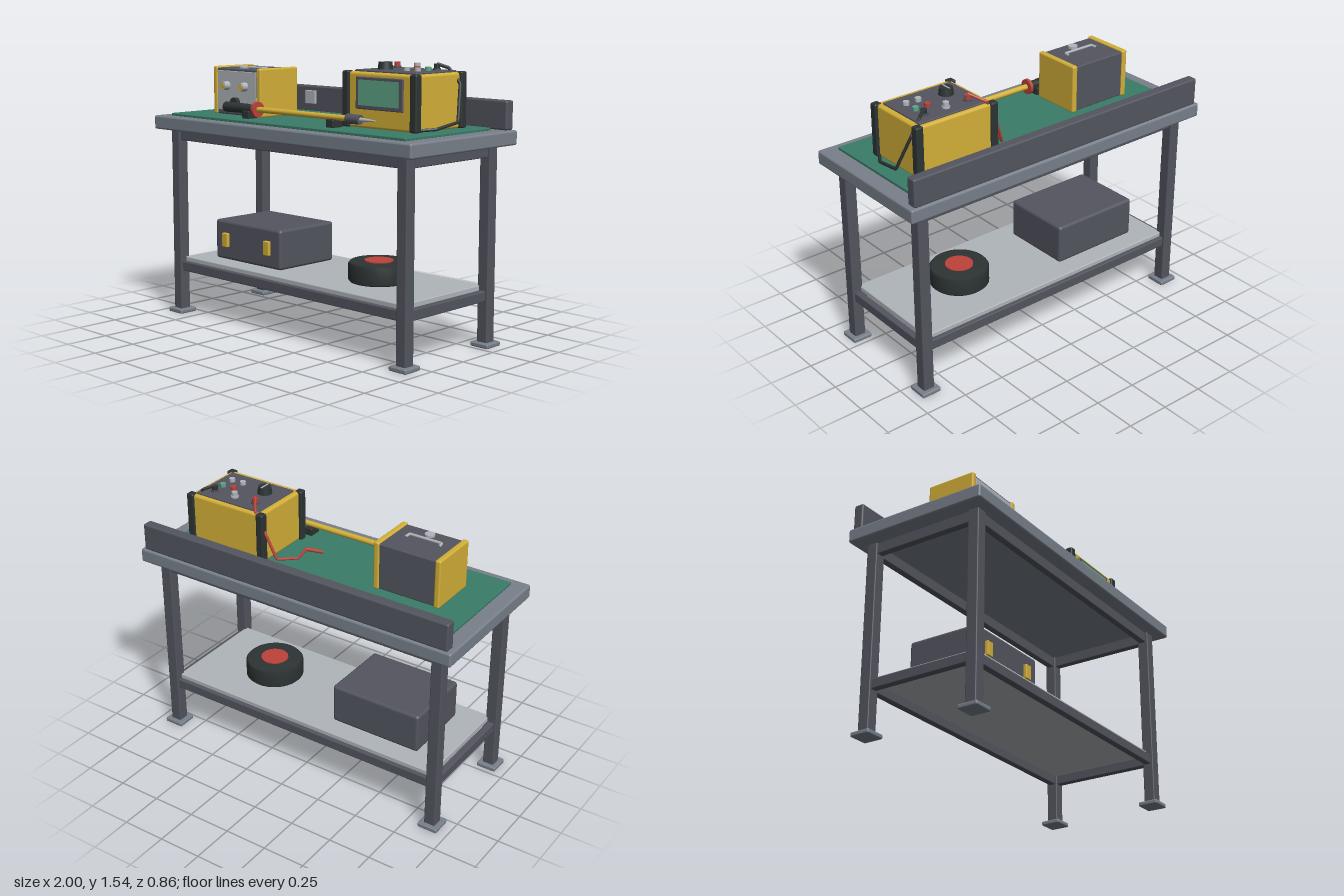
import * as THREE from 'three';
import { RoundedBoxGeometry } from 'three/addons/geometries/RoundedBoxGeometry.js';

const paint = (name, color) => {
  const m = new THREE.MeshStandardMaterial({ color });
  m.name = name;
  return m;
};

export function createModel() {
  const topGrey = paint('tableGrey', 0x78808a);
  const steel = paint('darkSteel', 0x53555f);
  const silver = paint('silver', 0xb0b5ba);
  const matGreen = paint('matGreen', 0x3a7c67);
  const yellow = paint('yellow', 0xd4b038);
  const black = paint('black', 0x2d3433);
  const red = paint('red', 0xbc423a);
  const screenGreen = paint('screenGreen', 0x5ea587);

  const model = new THREE.Group();
  model.name = 'workbench';
  const group = (name) => {
    const g = new THREE.Group();
    g.name = name;
    model.add(g);
    return g;
  };
  const add = (parent, name, geo, mat, x = 0, y = 0, z = 0) => {
    const m = new THREE.Mesh(geo, mat);
    m.name = name;
    m.position.set(x, y, z);
    parent.add(m);
    return m;
  };
  // Box from its limits on each axis, with rounded edges when r > 0
  const box = (parent, name, mat, [x0, x1], [y0, y1], [z0, z1], r = 0.006) => {
    const s = [x1 - x0, y1 - y0, z1 - z0];
    const geo = r ? new RoundedBoxGeometry(...s, 2, r) : new THREE.BoxGeometry(...s);
    return add(parent, name, geo, mat, (x0 + x1) / 2, (y0 + y1) / 2, (z0 + z1) / 2);
  };
  // Cylinder standing on (x, y, z) along the given axis
  const rod = (parent, name, mat, axis, x, y, z, len, r0, r1 = r0) => {
    const geo = new THREE.CylinderGeometry(r1, r0, len, 24).translate(0, len / 2, 0);
    if (axis === 'x') geo.rotateZ(-Math.PI / 2);
    if (axis === 'z') geo.rotateX(Math.PI / 2);
    return add(parent, name, geo, mat, x, y, z);
  };
  // Straight-run cable through a few points
  const cable = (parent, name, mat, r, pts) => {
    const curve = new THREE.CatmullRomCurve3(pts.map((p) => new THREE.Vector3(...p)), false, 'catmullrom', 0);
    return add(parent, name, new THREE.TubeGeometry(curve, 70, r, 8), mat);
  };

  // Bench frame
  const bench = group('bench');
  box(bench, 'tableTop', topGrey, [-1, 1], [1.1, 1.18], [-0.43, 0.43], 0.012);
  box(bench, 'workMat', matGreen, [-0.912, 0.908], [1.178, 1.195], [-0.315, 0.368], 0.004);
  for (const x of [-0.887, 0.887]) {
    for (const z of [-0.33, 0.333]) {
      box(bench, 'leg', steel, [x - 0.033, x + 0.033], [0.02, 1.1], [z - 0.033, z + 0.033]);
      box(bench, 'foot', topGrey, [x - 0.059, x + 0.059], [0, 0.026], [z - 0.059, z + 0.059], 0.008);
    }
    for (const [y0, y1] of [[1.037, 1.105], [0.255, 0.312]])
      box(bench, 'sideRail', steel, [x - 0.02, x + 0.02], [y0, y1], [-0.31, 0.31]);
  }
  for (const z of [-0.33, 0.33])
    for (const [y0, y1] of [[1.037, 1.105], [0.255, 0.312]])
      box(bench, 'longRail', steel, [-0.87, 0.87], [y0, y1], [z - 0.02, z + 0.02]);
  box(bench, 'shelf', silver, [-0.865, 0.865], [0.305, 0.338], [-0.325, 0.325]);
  box(bench, 'backPanel', steel, [-0.975, 0.975], [1.18, 1.337], [-0.422, -0.362], 0.01);
  for (const x of [-0.66, -0.483, 0.475, 0.655])
    box(bench, 'outletPlate', silver, [x - 0.042, x + 0.042], [1.23, 1.31], [-0.364, -0.346], 0.004);

  // Storage case on the shelf
  const storage = group('storageCase');
  box(storage, 'caseBody', steel, [-0.71, -0.155], [0.338, 0.57], [-0.215, 0.215], 0.018);
  for (const x of [-0.612, -0.257])
    box(storage, 'latch', yellow, [x - 0.023, x + 0.023], [0.415, 0.498], [0.21, 0.234], 0.005);

  // Roll with a red core
  const roll = group('cableRoll');
  const profile = [[0, 0], [0.158, 0], [0.168, 0.01], [0.168, 0.1], [0.158, 0.112], [0, 0.112]];
  const rollGeo = new THREE.LatheGeometry(profile.map((p) => new THREE.Vector2(...p)), 40);
  add(roll, 'rollBody', rollGeo, black, 0.403, 0.338, 0);
  rod(roll, 'rollCore', red, 'y', 0.403, 0.44, 0, 0.016, 0.08);

  // Power unit with yellow end plates
  const unit = group('powerUnit');
  box(unit, 'unitBody', steel, [-0.71, -0.36], [1.195, 1.462], [-0.092, 0.188], 0.008);
  for (const [a, b] of [[-0.737, -0.703], [-0.367, -0.333]])
    box(unit, 'endPlate', yellow, [a, b], [1.193, 1.47], [-0.1, 0.195], 0.01);
  box(unit, 'facePlate', silver, [-0.7, -0.37], [1.22, 1.448], [0.184, 0.194], 0.003);
  for (const x of [-0.612, -0.46]) {
    rod(unit, 'faceKnob', silver, 'z', x, 1.363, 0.19, 0.042, 0.026, 0.023);
    rod(unit, 'knobCentre', yellow, 'z', x, 1.363, 0.23, 0.006, 0.016);
  }
  rod(unit, 'socket', black, 'z', -0.535, 1.268, 0.19, 0.03, 0.03);
  rod(unit, 'topButton', silver, 'y', -0.535, 1.46, 0.135, 0.015, 0.028);
  cable(unit, 'handle', silver, 0.008,
    [[-0.64, 1.464, 0.05], [-0.635, 1.466, 0.088], [-0.44, 1.466, 0.088], [-0.435, 1.464, 0.05]]);

  // Long probe resting on two blocks
  const probe = group('probe');
  const [py, pz] = [1.248, 0.25];
  rod(probe, 'grip', black, 'x', -0.56, py, pz, 0.19, 0.03, 0.027);
  rod(probe, 'gripNeck', black, 'x', -0.375, py, pz, 0.075, 0.024);
  rod(probe, 'collar', red, 'x', -0.306, py, pz, 0.018, 0.044);
  rod(probe, 'shaft', yellow, 'x', -0.29, py, pz, 0.7, 0.016);
  rod(probe, 'sleeve', steel, 'x', 0.405, py, pz, 0.09, 0.028, 0.025);
  rod(probe, 'tip', silver, 'x', 0.494, py, pz, 0.106, 0.012, 0.004);
  for (const x of [-0.362, 0.303])
    box(probe, 'restBlock', black, [x - 0.026, x + 0.026], [1.193, 1.238], [0.21, 0.286], 0.005);

  // Test instrument
  const meter = group('testInstrument');
  box(meter, 'meterBody', yellow, [0.312, 0.798], [1.193, 1.488], [-0.217, 0.168], 0.015);
  box(meter, 'controlPlate', steel, [0.34, 0.77], [1.47, 1.497], [-0.195, 0.13], 0.005);
  for (const x of [0.317, 0.792])
    for (const z of [-0.205, 0.158])
      box(meter, 'cornerGuard', black, [x - 0.023, x + 0.023], [1.194, 1.492], [z - 0.023, z + 0.023], 0.009);
  box(meter, 'bezel', steel, [0.39, 0.72], [1.294, 1.465], [0.16, 0.178], 0.005);
  box(meter, 'screen', screenGreen, [0.413, 0.693], [1.315, 1.449], [0.176, 0.181], 0);
  rod(meter, 'dial', black, 'y', 0.452, 1.495, 0.012, 0.042, 0.042, 0.036);
  box(meter, 'dialMark', silver, [0.448, 0.456], [1.535, 1.54], [-0.02, 0.044], 0);
  for (const [mat, x] of [[red, 0.415], [silver, 0.555], [black, 0.693]]) {
    rod(meter, 'terminalBase', mat === silver ? silver : steel, 'y', x, 1.495, -0.125, 0.012, 0.022);
    rod(meter, 'terminal', mat, 'y', x, 1.505, -0.125, 0.025, 0.017);
  }
  for (const [mat, x, z] of [[red, 0.618, -0.053], [screenGreen, 0.693, -0.053],
    [silver, 0.618, 0.03], [silver, 0.693, 0.03]])
    rod(meter, 'pushButton', mat, 'y', x, 1.495, z, 0.022, 0.017);

  // Test leads
  const leads = group('testLeads');
  cable(leads, 'redLead', red, 0.008, [[0.415, 1.535, -0.125], [0.355, 1.5, -0.205], [0.29, 1.37, -0.2],
    [0.235, 1.23, -0.18], [0.175, 1.205, -0.065], [0.2, 1.205, 0.045], [0.1, 1.205, 0.07]]);
  cable(leads, 'redLeadTip', red, 0.011, [[0.2, 1.207, 0.045], [0.1, 1.207, 0.07]]);
  cable(leads, 'blackLead', black, 0.009, [[0.693, 1.53, -0.125], [0.745, 1.51, -0.16], [0.81, 1.43, -0.175],
    [0.86, 1.235, -0.1], [0.85, 1.21, 0.06], [0.8, 1.205, 0.14]]);

  return model;
}
